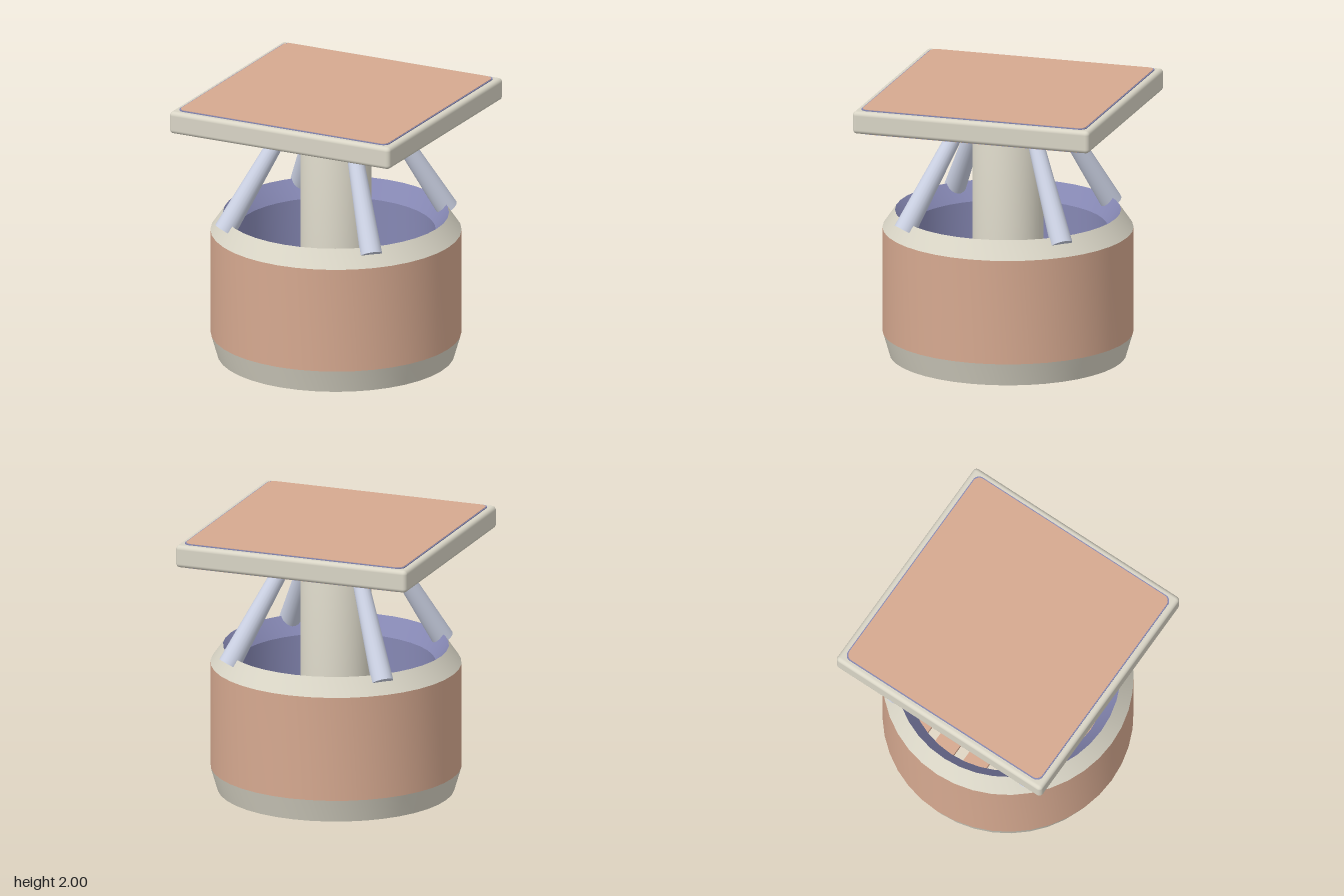
import * as THREE from 'three';
import { toCreasedNormals } from 'three/addons/utils/BufferGeometryUtils.js';
import { RoundedBoxGeometry } from 'three/addons/geometries/RoundedBoxGeometry.js';

const mat = (name, color) => {
  const m = new THREE.MeshStandardMaterial({ color });
  m.name = name;
  return m;
};

export function createModel() {
  const model = new THREE.Group();
  const cream = mat('cream', 0xd9d5c6);
  const clay = mat('clay', 0xd6a990);
  const steel = mat('pale steel', 0xccd2e4);
  const violet = mat('violet grey', 0x8688b4);
  const gold = mat('gold', 0xd0954a);

  const add = (name, geometry, material, parent = model) => {
    const mesh = new THREE.Mesh(geometry, material);
    mesh.name = name;
    parent.add(mesh);
    return mesh;
  };

  // Turned part: points run upward for outer faces, downward for inner faces
  const turned = (name, points, material, crease = 0.3) => {
    const lathe = new THREE.LatheGeometry(points.map(([r, y]) => new THREE.Vector2(r, y)), 40);
    return add(name, toCreasedNormals(lathe, crease), material);
  };

  // Hollow drum
  turned('drumBase', [[0.71, 0], [0.74, 0], [0.85, 0.03], [0.9, 0.2]], cream, 0.2);
  turned('drumWall', [[0.9, 0.2], [0.9, 0.97]], clay);
  turned('drumRim', [[0.9, 0.97], [0.81, 1.1]], cream);
  turned('drumLining', [[0.81, 1.1], [0.715, 0.97], [0.715, 0.1]], violet);
  turned('outletRing', [[0.715, 0.1], [0.67, 0.1], [0.67, 0.06], [0.71, 0]], gold);

  // Slats across the bottom opening
  const grille = new THREE.Group();
  grille.name = 'grille';
  model.add(grille);
  for (let i = -2; i <= 2; i++) {
    const z = i * 0.25;
    const outer = Math.abs(z) + 0.04;
    const length = 2 * Math.sqrt(0.68 ** 2 - outer ** 2);
    add('slat', new THREE.BoxGeometry(length, 0.03, 0.17), clay, grille).position.set(0, 0.085, z);
  }

  // Centre column with a rounded shoulder
  turned('column', [
    [0, 0.1], [0.255, 0.1], [0.255, 1.73], [0.244, 1.765], [0.22, 1.8], [0.19, 1.82], [0.15, 1.84],
  ], cream, 0.6);

  // Four tapered diagonal struts
  const up = new THREE.Vector3(0, 1, 0);
  for (let i = 0; i < 4; i++) {
    const angle = Math.PI / 4 + i * Math.PI / 2;
    const at = (r, y) => new THREE.Vector3(r * Math.cos(angle), y, r * Math.sin(angle));
    const foot = at(0.835, 1.05), head = at(0.335, 1.86);
    const axis = head.clone().sub(foot);
    const strut = add('strut', new THREE.CylinderGeometry(0.052, 0.08, axis.length(), 20), steel);
    strut.position.copy(foot).add(head).multiplyScalar(0.5);
    strut.quaternion.setFromUnitVectors(up, axis.normalize());
  }

  // Square canopy slab
  add('canopy', new RoundedBoxGeometry(1.78, 0.165, 1.78, 4, 0.03), cream).position.y = 1.9075;

  // Flat plate with rounded corners, lying level
  const plate = (name, size, y, height, material) => {
    const h = size / 2, r = 0.05, s = new THREE.Shape();
    s.absarc(h - r, h - r, r, 0, Math.PI / 2);
    s.absarc(r - h, h - r, r, Math.PI / 2, Math.PI);
    s.absarc(r - h, r - h, r, Math.PI, Math.PI * 1.5);
    s.absarc(h - r, r - h, r, Math.PI * 1.5, Math.PI * 2);
    const g = new THREE.ExtrudeGeometry(s, { depth: height, bevelEnabled: false, curveSegments: 6 });
    add(name, g.rotateX(-Math.PI / 2), material).position.y = y;
  };
  plate('topTrim', 1.69, 1.988, 0.009, violet);
  plate('topPanel', 1.675, 1.994, 0.006, clay);
  plate('bottomTrim', 1.69, 1.818, 0.009, violet);
  plate('bottomPanel', 1.675, 1.815, 0.006, clay);

  return model;
}
